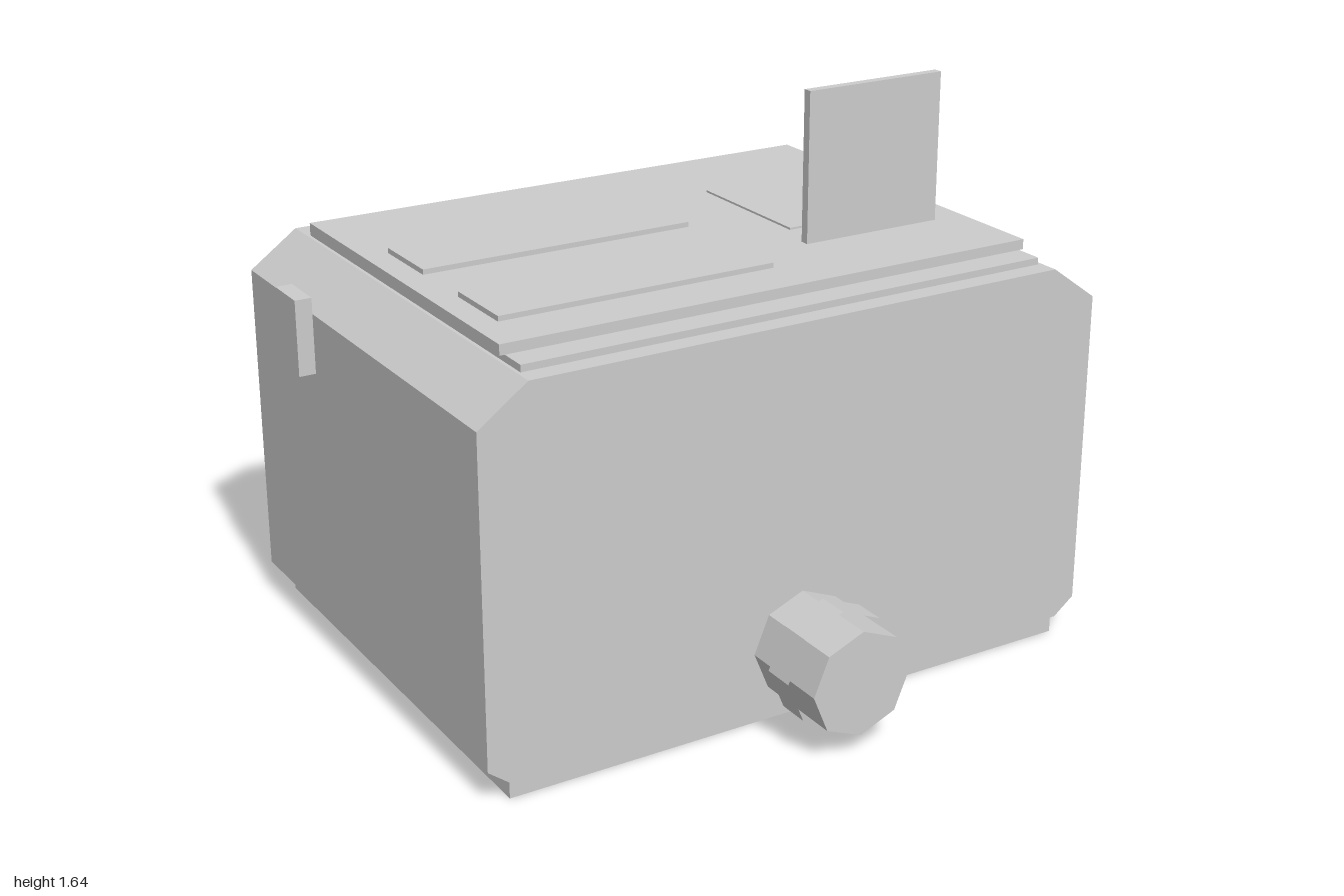
import * as THREE from 'three';

export function createModel() {
  const model = new THREE.Group();
  model.name = 'boxCase';
  const grey = new THREE.MeshStandardMaterial({ color: 0xcccccc });
  grey.name = 'plainGrey';

  const add = (name, geometry) => {
    const mesh = new THREE.Mesh(geometry, grey);
    mesh.name = name;
    model.add(mesh);
    return mesh;
  };
  // Box given by its extents along each axis
  const box = (name, x0, x1, y0, y1, z0, z1) =>
    add(name, new THREE.BoxGeometry(x1 - x0, y1 - y0, z1 - z0))
      .position.set((x0 + x1) / 2, (y0 + y1) / 2, (z0 + z1) / 2);

  // Body: chamfered outline extruded from back to front
  const outline = [
    [-0.885, 0.05], [0.935, 0.05], [1, 0.1], [1, 1.045],
    [0.855, 1.15], [-0.805, 1.15], [-0.95, 1.045], [-0.95, 0.1],
  ].map(([x, y]) => new THREE.Vector2(x, y));
  add('body', new THREE.ExtrudeGeometry(new THREE.Shape(outline), { depth: 1.467, bevelEnabled: false }))
    .position.z = -0.837;
  box('base', -0.885, 0.925, 0, 0.05, -0.82, 0.622);

  // Stepped lid with flat raised plates
  box('lidLower', -0.795, 0.842, 1.15, 1.17, -0.745, 0.57);
  box('lidUpper', -0.81, 0.855, 1.17, 1.2, -0.71, 0.487);
  box('lidPlateBack', -0.735, 0.107, 1.2, 1.215, -0.332, -0.107);
  box('lidPlateFront', -0.735, 0.107, 1.2, 1.215, 0.107, 0.335);
  box('lidPad', 0.34, 0.717, 1.2, 1.206, -0.38, 0.07);

  // Upright panel with a raised inset on its rear face
  box('uprightPanel', 0.305, 0.755, 1.2, 1.64, 0.18, 0.207);
  box('uprightInset', 0.385, 0.68, 1.28, 1.565, 0.171, 0.18);

  // Front spout: octagonal stem and an open ring around it
  const octagon = (name, radius, z0, z1, open) => {
    const geometry = new THREE.CylinderGeometry(radius, radius, z1 - z0, 8, 1, open).toNonIndexed();
    geometry.rotateX(Math.PI / 2);
    geometry.computeVertexNormals();
    add(name, geometry).position.set(0.021, 0.215, (z0 + z1) / 2);
  };
  octagon('spoutStem', 0.155, 0.63, 0.915, false);
  octagon('spoutRing', 0.172, 0.725, 0.82, true);

  // Rear panels, strap and latch
  box('rearPanelRight', -0.81, -0.125, 0.145, 0.937, -0.863, -0.837);
  box('rearPanelLeft', 0.17, 0.855, 0.145, 0.937, -0.863, -0.837);
  box('strap', -0.11, 0.155, 0.015, 0.9, -0.904, -0.868);
  box('latch', -0.122, 0.17, 0.815, 0.957, -0.912, -0.868);
  box('latchTab', -0.075, 0.113, 0.957, 1.005, -0.912, -0.868);

  // Side catch
  box('sideCatch', -1, -0.95, 0.868, 1.093, -0.52, -0.38);

  return model;
}
